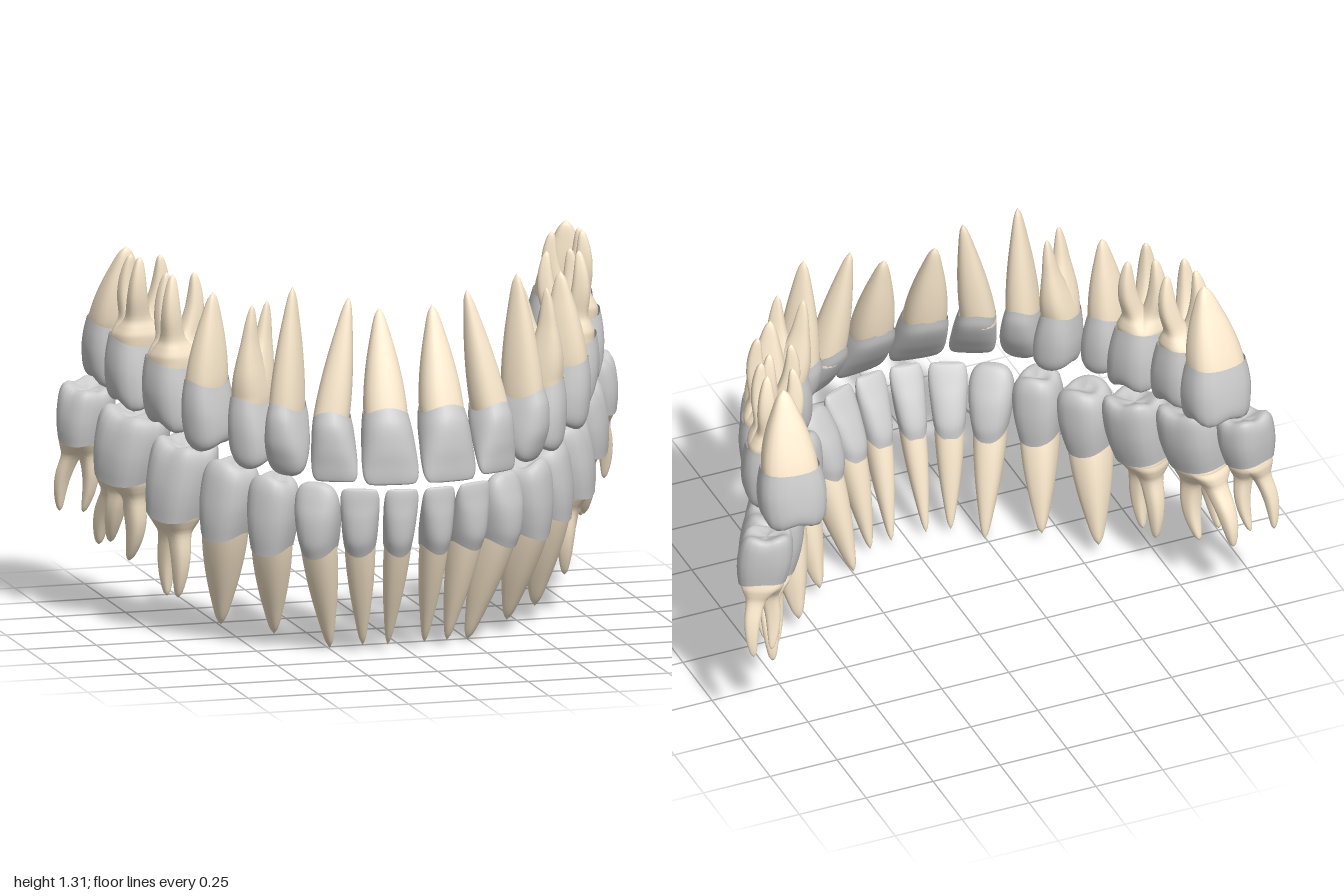
import * as THREE from 'three';

const crownMat = new THREE.MeshStandardMaterial({ color: 0xcccccc, side: THREE.DoubleSide });
const rootMat = new THREE.MeshStandardMaterial({ color: 0xfbe9cd });
const SEG = 24;

// Crown profiles: [height from neck 0 to biting edge 1, width scale, depth scale]
const KINDS = {
  incisor: {
    profile: [[0, .8, .88], [.2, .88, 1], [.5, .96, .8], [.75, 1, .5], [.9, .97, .31], [.98, .86, .18], [1, .7, .1], [1, 0, 0]],
    power: 2.4, tilt: 0, scallop: .07, cusp: () => 0,
  },
  canine: {
    profile: [[0, .78, .88], [.2, .89, 1], [.5, 1, .9], [.75, .98, .62], [.9, .82, .4], [.98, .5, .22], [1, 0, 0]],
    power: 2.4, tilt: .08, scallop: .07, cusp: () => 0,
  },
  premolar: {
    profile: [[0, .8, .86], [.25, .92, .97], [.5, 1, 1], [.78, .99, .93], [.92, .9, .78], [.99, .68, .55], [.95, .3, .24], [.92, 0, 0]],
    power: 2.7, tilt: .18, scallop: .05, cusp: (p) => .07 * Math.cos(2 * p) + .04 * Math.cos(p),
  },
  molar: {
    profile: [[0, .84, .86], [.25, .93, .96], [.5, .99, 1], [.8, 1, .95], [.94, .93, .85], [1, .76, .68], [.94, .36, .3], [.91, 0, 0]],
    power: 3, tilt: .2, scallop: .03, cusp: (p) => -.05 * Math.cos(4 * p),
  },
};

// Root tapers: [distance from neck 0 to tip 1, radius scale]
const SINGLE = [[-.12, .95], [0, .96], [.2, .89], [.45, .72], [.7, .48], [.92, .22], [1, 0]];
const FORKED = [[-.12, .9], [0, .92], [.12, .68], [.25, .42], [.5, .34], [.75, .25], [.95, .12], [1, 0]];
const LATE_FORK = [[-.12, .94], [0, .95], [.2, .82], [.4, .62], [.6, .42], [.8, .28], [.95, .13], [1, 0]];

// name, kind, neck centre, biting centre, width, depth, outward angle in degrees, root taper, root tips
const UPPER = [
  ['CentralIncisor', 'incisor', [.1, .865, .45], [.105, .62, .548], .195, .165, 8, SINGLE, [[.095, 1.2, .355]]],
  ['LateralIncisor', 'incisor', [.28, .855, .415], [.29, .63, .49], .16, .15, 25, SINGLE, [[.21, 1.25, .38]]],
  ['Canine', 'canine', [.42, .88, .345], [.43, .64, .385], .145, .18, 42, SINGLE, [[.4, 1.29, .345]]],
  ['FirstPremolar', 'premolar', [.515, .895, .24], [.505, .67, .253], .15, .185, 52, LATE_FORK, [[.525, 1.22, .28], [.455, 1.22, .22]]],
  ['SecondPremolar', 'premolar', [.64, .935, .115], [.63, .71, .115], .15, .185, 60, SINGLE, [[.62, 1.24, .125]]],
  ['FirstMolar', 'molar', [.7, .98, -.06], [.685, .755, -.063], .205, .23, 68, FORKED, [[.725, 1.28, -.01], [.72, 1.27, -.1], [.63, 1.27, -.075]]],
  ['SecondMolar', 'molar', [.77, 1.02, -.262], [.765, .795, -.26], .2, .235, 75, FORKED, [[.79, 1.31, -.19], [.8, 1.305, -.265], [.7, 1.3, -.25]]],
  ['ThirdMolar', 'molar', [.795, 1.045, -.445], [.79, .835, -.468], .19, .235, 80, SINGLE, [[.785, 1.31, -.37]]],
];
const LOWER = [
  ['CentralIncisor', 'incisor', [.065, .375, .478], [.067, .6, .545], .118, .13, 8, SINGLE, [[.065, .02, .36]]],
  ['LateralIncisor', 'incisor', [.187, .375, .44], [.205, .6, .5], .135, .14, 22, SINGLE, [[.15, .02, .345]]],
  ['Canine', 'canine', [.315, .37, .38], [.335, .615, .415], .155, .17, 35, SINGLE, [[.245, 0, .27]]],
  ['FirstPremolar', 'premolar', [.455, .37, .28], [.45, .62, .293], .165, .175, 45, SINGLE, [[.415, .04, .17]]],
  ['SecondPremolar', 'premolar', [.575, .395, .12], [.55, .645, .127], .18, .19, 55, SINGLE, [[.56, .05, .015]]],
  ['FirstMolar', 'molar', [.7, .435, -.058], [.66, .685, -.055], .215, .21, 62, FORKED, [[.69, .135, -.065], [.71, .13, -.13]]],
  ['SecondMolar', 'molar', [.81, .525, -.288], [.775, .755, -.278], .235, .22, 64, FORKED, [[.79, .22, -.32], [.86, .255, -.45], [.845, .28, -.36]]],
  ['ThirdMolar', 'molar', [.91, .625, -.475], [.89, .81, -.473], .165, .19, 64, FORKED, [[.972, .36, -.545], [.895, .355, -.52]]],
];

const vec = (a) => new THREE.Vector3(...a);

// Joins rings of SEG points into a smooth surface; point(j, angle) gives each vertex
function loft(count, point, side, flip) {
  const pos = [], index = [];
  for (let j = 0; j < count; j++) {
    for (let i = 0; i < SEG; i++) {
      const p = point(j, (i / SEG) * Math.PI * 2);
      pos.push(p.x * side, p.y, p.z);
      if (j === count - 1) continue;
      const a = j * SEG + i, b = j * SEG + (i + 1) % SEG, c = a + SEG, d = b + SEG;
      if (flip) index.push(a, c, b, b, c, d);
      else index.push(a, b, c, b, d, c);
    }
  }
  const geo = new THREE.BufferGeometry();
  geo.setAttribute('position', new THREE.Float32BufferAttribute(pos, 3));
  geo.setIndex(index);
  geo.computeVertexNormals();
  return geo;
}

// Smooths a station list into finely spaced [x, y, z] points
const smooth = (list, n) => new THREE.CatmullRomCurve3(list.map((s) => new THREE.Vector3(s[0], s[1], s[2] ?? 0))).getPoints(n);

function makeTooth(row, prefix, side, up) {
  const [name, kindName, n, c, width, depth, degrees, taperList, tipList] = row;
  const kind = KINDS[kindName];
  const neck = vec(n), bite = vec(c), tips = tipList.map(vec);
  const angle = THREE.MathUtils.degToRad(degrees);
  const across = new THREE.Vector3(Math.cos(angle), 0, -Math.sin(angle));
  const outward = new THREE.Vector3(Math.sin(angle), 0, Math.cos(angle));
  const mirrored = side < 0;

  // Rounded-box outline around a centre
  const outline = (centre, phi, w, d) => {
    const cs = Math.cos(phi), sn = Math.sin(phi);
    const r = Math.pow(Math.abs(cs) ** kind.power + Math.abs(sn) ** kind.power, -1 / kind.power);
    return centre.clone()
      .addScaledVector(outward, cs * r * d * depth / 2)
      .addScaledVector(across, sn * r * w * width / 2);
  };

  const tooth = new THREE.Group();
  tooth.name = prefix + name;

  // Crown with scalloped neck line and cusps
  const stations = smooth(kind.profile, 35);
  const height = bite.y - neck.y;
  const crown = new THREE.Mesh(loft(stations.length, (j, phi) => {
    const t = stations[j].x, w = Math.max(0, stations[j].y), d = Math.max(0, stations[j].z);
    const p = outline(neck.clone().lerp(bite, t), phi, w, d);
    const rise = THREE.MathUtils.smoothstep(t, .45, .95) * w * kind.cusp(phi);
    const dip = kind.scallop * Math.cos(2 * phi) * Math.max(0, 1 - t) ** 2;
    p.y += height * (rise - dip) + kind.tilt * (neck.z + (bite.z - neck.z) * t - p.z);
    return p;
  }, side, up !== mirrored), crownMat);
  crown.name = 'crown';
  tooth.add(crown);

  // Roots: one tapering cone, or several that split from a common trunk
  const taper = smooth(taperList, 24);
  const mean = new THREE.Vector3();
  tips.forEach((t) => mean.addScaledVector(t, 1 / tips.length));
  const [, neckW, neckD] = kind.profile[0];
  for (const tip of tips) {
    const apart = tip.clone().sub(mean);
    const bow = apart.clone().setY(0).setLength(taperList === FORKED ? .013 : 0);
    const root = new THREE.Mesh(loft(taper.length, (j, phi) => {
      const s = taper[j].x, r = Math.max(0, taper[j].y), q = Math.min(1, Math.max(0, s));
      const centre = neck.clone().lerp(mean, s)
        .addScaledVector(apart, 1 - (1 - q) ** 2.5)
        .addScaledVector(bow, Math.sin(Math.PI * q));
      return outline(centre, phi, neckW * r, neckD * r);
    }, side, up === mirrored), rootMat);
    root.name = 'root';
    tooth.add(root);
  }
  return tooth;
}

export function createModel() {
  const model = new THREE.Group();
  model.name = 'dentition';
  for (const [jaw, rows, up] of [['upper', UPPER, true], ['lower', LOWER, false]]) {
    const arch = new THREE.Group();
    arch.name = jaw + 'Arch';
    for (const [label, side] of [['Left', 1], ['Right', -1]]) {
      for (const row of rows) arch.add(makeTooth(row, jaw + label, side, up));
    }
    model.add(arch);
  }
  return model;
}
